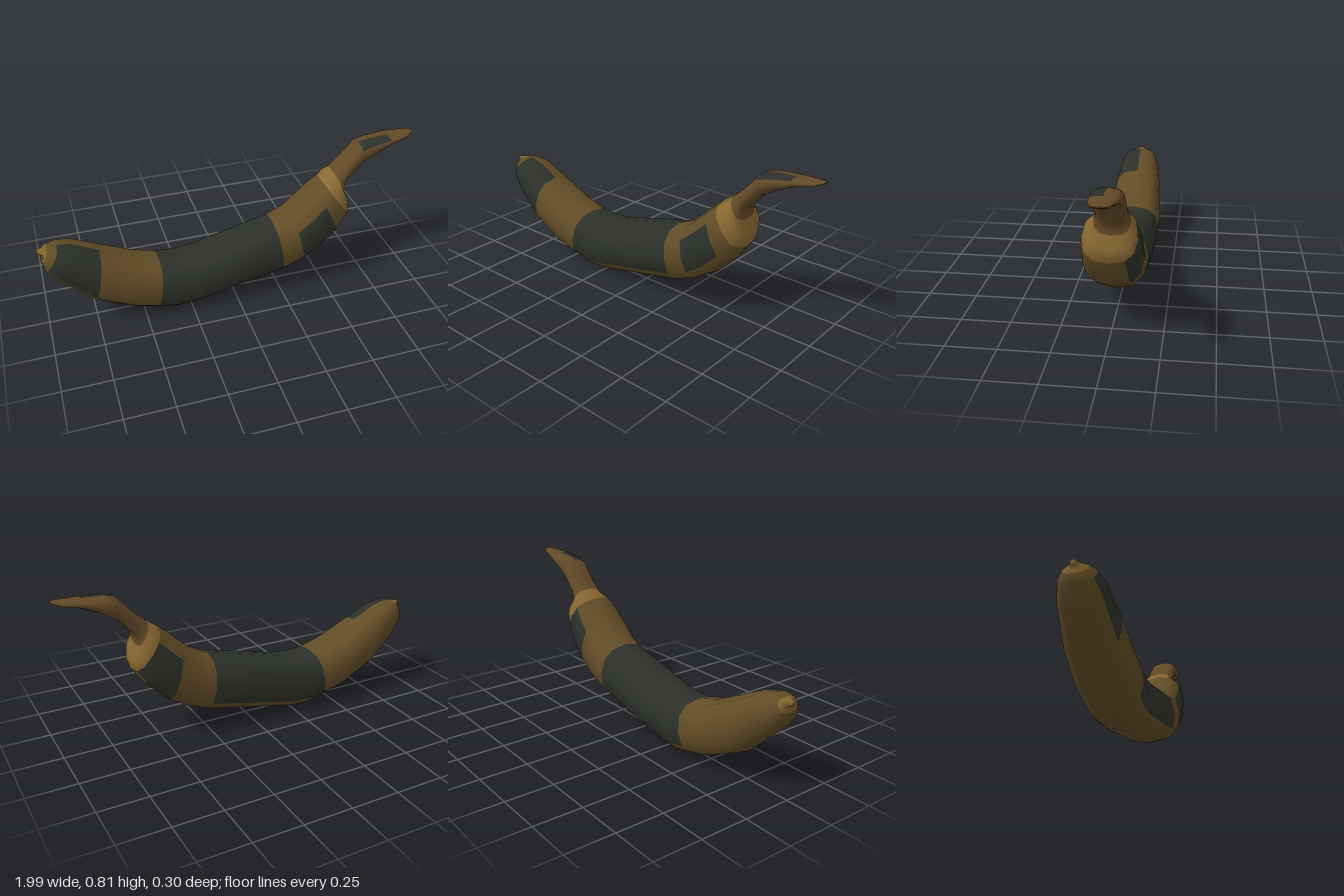
import * as THREE from 'three';

const SIDES = 12;

// Cross-sections: [top x, top y, bottom x, bottom y, half width]
const BODY = [
  [-1.0, 0.477, -0.995, 0.452, 0.014],
  [-0.975, 0.48, -0.975, 0.443, 0.025],
  [-0.95, 0.482, -0.985, 0.42, 0.06],
  [-0.9, 0.489, -0.977, 0.37, 0.09],
  [-0.83, 0.476, -0.92, 0.3, 0.115],
  [-0.7, 0.411, -0.755, 0.145, 0.137],
  [-0.53, 0.328, -0.56, 0.055, 0.15],
  [-0.4, 0.289, -0.44, 0.024, 0.15],
  [-0.31, 0.284, -0.335, 0, 0.15],
  [-0.2, 0.294, -0.24, 0.005, 0.15],
  [0.22, 0.4, 0.26, 0.11, 0.15],
  [0.31, 0.442, 0.38, 0.158, 0.15],
  [0.39, 0.515, 0.47, 0.213, 0.15],
  [0.45, 0.57, 0.57, 0.31, 0.145],
  [0.49, 0.603, 0.634, 0.405, 0.13],
];
const STEM = [
  [0.52, 0.625, 0.64, 0.47, 0.115],
  [0.55, 0.648, 0.61, 0.532, 0.085],
  [0.61, 0.703, 0.613, 0.587, 0.075],
  [0.69, 0.79, 0.7, 0.682, 0.075],
  [0.736, 0.8, 0.784, 0.73, 0.073],
  [0.85, 0.807, 0.87, 0.772, 0.064],
  [0.95, 0.811, 0.95, 0.79, 0.044],
  [0.99, 0.815, 0.988, 0.805, 0.02],
];
const STEM_Z = -0.015;

// Dark patches: [first ring, end ring, first side, end side]
const BRUISES = [
  [4, 6, 0, 4], [8, 11, 0, 4], [12, 14, 2, 4],
  [8, 11, 8, 12], [13, 15, 7, 10], [19, 21, 0, 2],
];

const COLORS = {
  peel: 0x624d27, darkPatches: 0x2d312a, blossomTip: 0x80632f, shoulder: 0x8a6a33, stem: 0x624a28,
};

// Rounded-square ring running top -> front -> bottom -> back; size 0 closes an end
function ring([tx, ty, bx, by, half], z, size = 1) {
  const soft = (v) => Math.sign(v) * Math.abs(v) ** 0.8 * size;
  return Array.from({ length: SIDES }, (_, j) => {
    const a = (j / SIDES) * Math.PI * 2;
    const c = soft(Math.cos(a)) / 2;
    return new THREE.Vector3(
      (tx + bx) / 2 + (tx - bx) * c,
      (ty + by) / 2 + (ty - by) * c,
      z + half * soft(Math.sin(a)),
    );
  });
}

function partAt(i, j) {
  if (BRUISES.some(([i0, i1, j0, j1]) => i >= i0 && i < i1 && j >= j0 && j < j1)) return 'darkPatches';
  if (i < 3) return 'blossomTip';
  if (i < BODY.length) return 'peel';
  return i < BODY.length + 2 ? 'shoulder' : 'stem';
}

export function createModel() {
  const group = new THREE.Group();
  group.name = 'banana';

  const rings = [
    ring(BODY[0], 0, 0),
    ...BODY.map((s) => ring(s, 0)),
    ...STEM.map((s) => ring(s, STEM_Z)),
    ring(STEM.at(-1), STEM_Z, 0),
  ];

  // Sort the quads of the skin into coloured parts
  const faces = {};
  const all = [];
  for (let i = 0; i < rings.length - 1; i++) {
    for (let j = 0; j < SIDES; j++) {
      const a = i * SIDES + j;
      const b = i * SIDES + ((j + 1) % SIDES);
      const quad = [a, b, a + SIDES, b, b + SIDES, a + SIDES];
      (faces[partAt(i, j)] ??= []).push(...quad);
      all.push(...quad);
    }
  }

  // Shared smooth normals keep the shading continuous between parts
  const skin = new THREE.BufferGeometry().setFromPoints(rings.flat());
  skin.setIndex(all);
  skin.computeVertexNormals();

  for (const [name, index] of Object.entries(faces)) {
    const geometry = new THREE.BufferGeometry();
    geometry.setAttribute('position', skin.attributes.position);
    geometry.setAttribute('normal', skin.attributes.normal);
    geometry.setIndex(index);
    const mesh = new THREE.Mesh(geometry, new THREE.MeshStandardMaterial({ color: COLORS[name] }));
    mesh.name = name;
    group.add(mesh);
  }
  return group;
}
